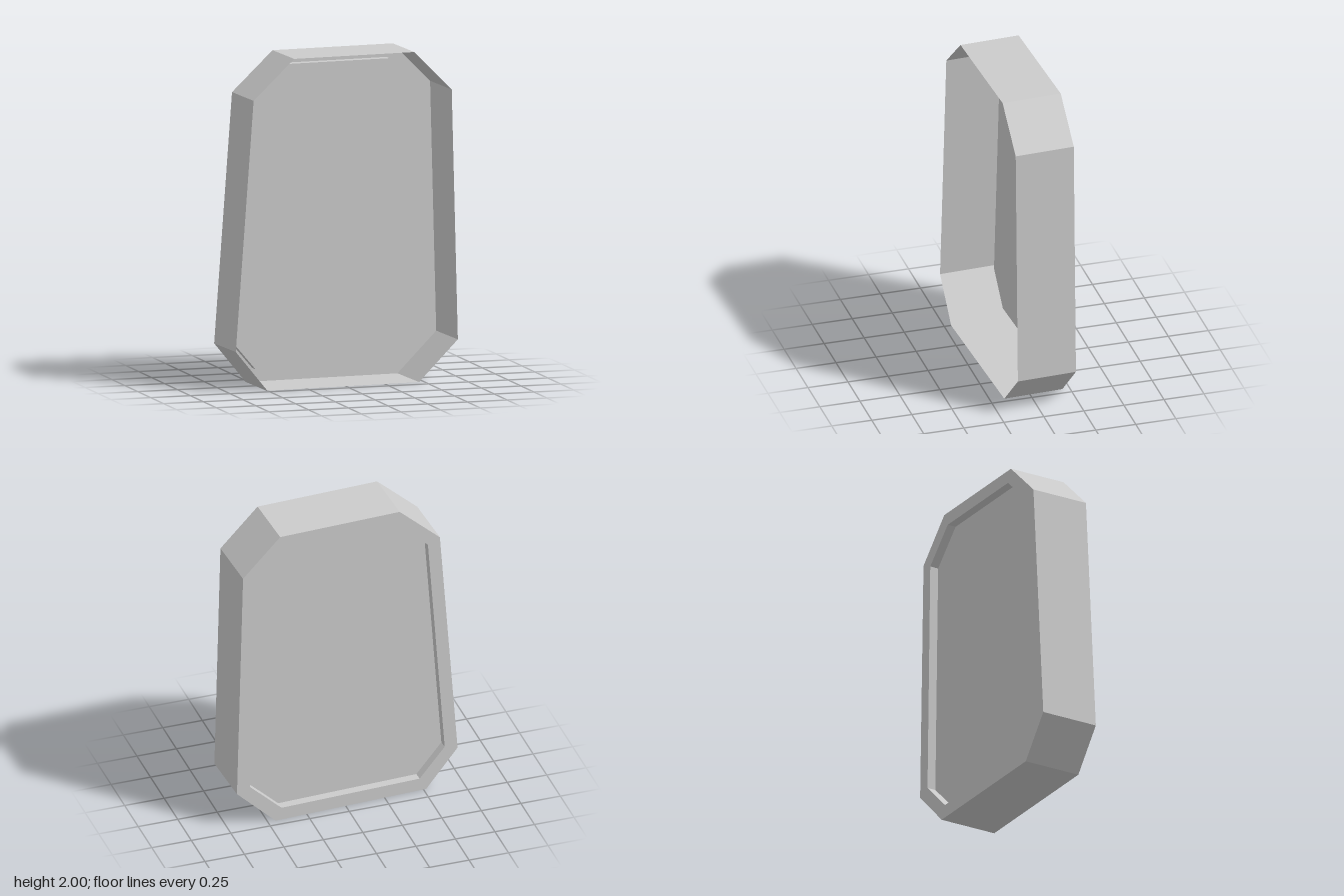
import * as THREE from 'three';

const material = new THREE.MeshStandardMaterial({
  color: 0xcccccc, flatShading: true, side: THREE.DoubleSide,
});

const YAW = 0.045;
const BACK = -0.184, FRONT = 0.184, RECESS = 0.055;

// Chamfered outlines, counter-clockwise seen from the front
const outer = [
  [-0.51, 0], [0.46, 0], [0.708, 0.245], [0.669, 1.76],
  [0.43, 2], [-0.339, 2], [-0.598, 1.76], [-0.712, 0.245],
].map(([x, y]) => new THREE.Vector2(x, y));

const inner = [
  [-0.468, 0.082], [0.421, 0.082], [0.623, 0.275], [0.591, 1.725],
  [0.39, 1.92], [-0.304, 1.92], [-0.521, 1.725], [-0.629, 0.27],
].map(([x, y]) => new THREE.Vector2(x, y));

function addMesh(group, name, geometry) {
  const mesh = new THREE.Mesh(geometry, material);
  mesh.name = name;
  group.add(mesh);
  return mesh;
}

// Open band of flat quads that sweeps an outline from z0 to z1
function band(outline, z0, z1) {
  const positions = [];
  outline.forEach((a, i) => {
    const b = outline[(i + 1) % outline.length];
    positions.push(
      a.x, a.y, z0, b.x, b.y, z0, b.x, b.y, z1,
      a.x, a.y, z0, b.x, b.y, z1, a.x, a.y, z1,
    );
  });
  const geometry = new THREE.BufferGeometry();
  geometry.setAttribute('position', new THREE.Float32BufferAttribute(positions, 3));
  geometry.computeVertexNormals();
  return geometry;
}

// Flat sheet facing the back
function sheet(outline, hole, z) {
  const shape = new THREE.Shape(outline);
  if (hole) shape.holes.push(new THREE.Path(hole));
  const geometry = new THREE.ShapeGeometry(shape);
  const index = geometry.index;
  for (let i = 0; i < index.count; i += 3) {
    const b = index.getX(i + 1);
    index.setX(i + 1, index.getX(i + 2));
    index.setX(i + 2, b);
  }
  geometry.computeVertexNormals();
  return geometry.translate(0, 0, z);
}

export function createModel() {
  const model = new THREE.Group();
  model.name = 'openShell';

  // Tray open at the front, turned slightly about the vertical
  const tray = new THREE.Group();
  tray.name = 'tray';
  tray.rotation.y = YAW;
  model.add(tray);

  addMesh(tray, 'outerWall', band(outer, BACK, FRONT));
  addMesh(tray, 'backRim', sheet(outer, inner, BACK));

  // Back panel set in from the rim
  addMesh(tray, 'recessWall', band([...inner].reverse(), BACK, BACK + RECESS));
  addMesh(tray, 'backPanel', sheet(inner, null, BACK + RECESS));

  return model;
}
